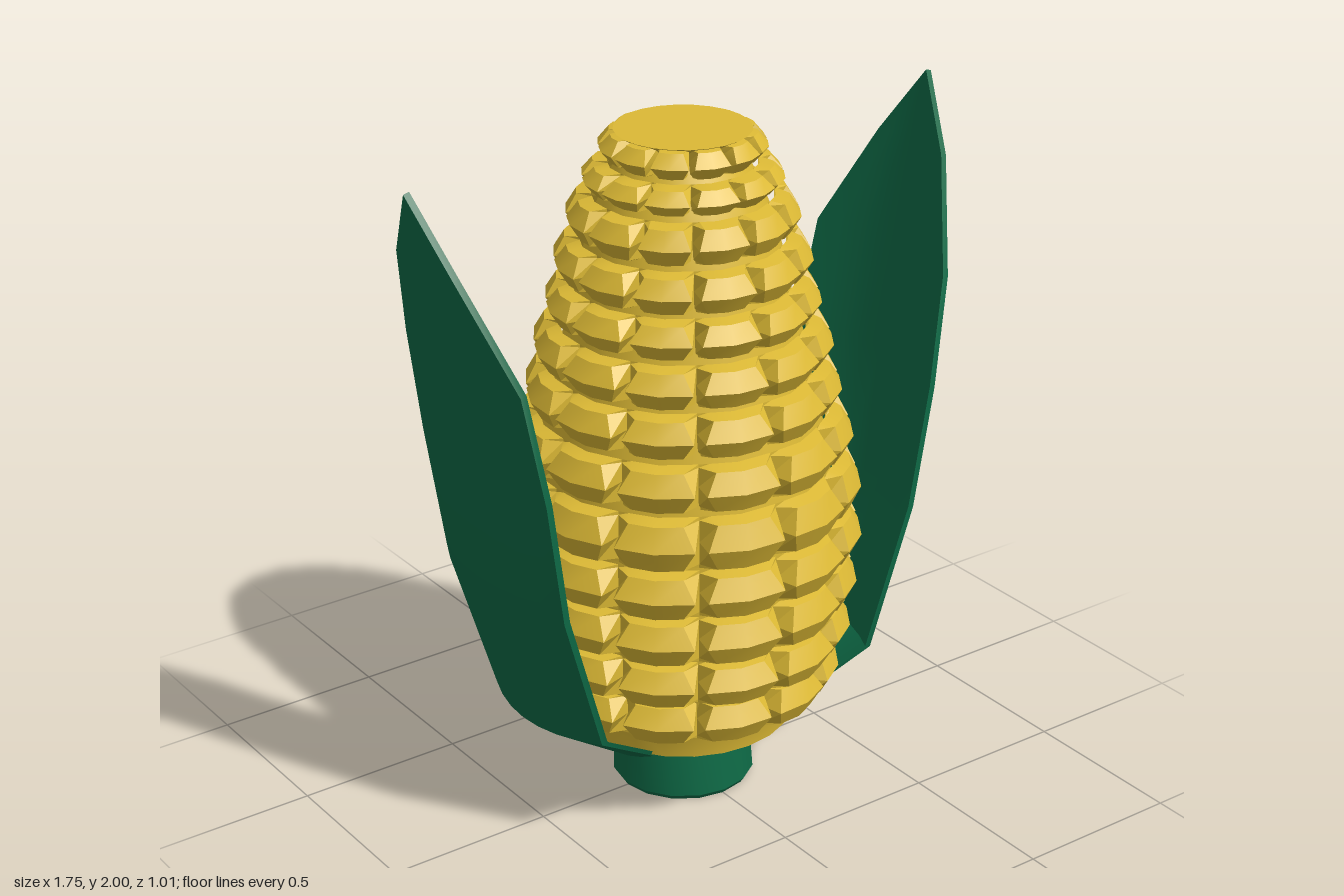
import * as THREE from 'three';
import { toCreasedNormals } from 'three/addons/utils/BufferGeometryUtils.js';

const yellow = new THREE.MeshStandardMaterial({ color: 0xdcb935 });
yellow.name = 'kernelYellow';
const green = new THREE.MeshStandardMaterial({ color: 0x0e6a46 });
green.name = 'huskGreen';

const COLUMNS = 12;
const STEP = (Math.PI * 2) / COLUMNS;

// Skin a list of cross-sections, each with the same number of points
function loft(sections, crease) {
  const n = sections[0].length;
  const index = [];
  for (let i = 0; i < sections.length - 1; i++) {
    for (let j = 0; j < n - 1; j++) {
      const a = i * n + j, b = a + 1, c = b + n, d = a + n;
      index.push(a, b, c, a, c, d);
    }
  }
  const geo = new THREE.BufferGeometry().setFromPoints(sections.flat());
  geo.setIndex(index);
  return toCreasedNormals(geo, crease);
}

function mesh(name, geo, material) {
  const m = new THREE.Mesh(geo, material);
  m.name = name;
  return m;
}

// Rows of kernels from bottom to top: y start, y end, outer radius
const rows = [
  [0.315, 0.445, 0.45], [0.45, 0.58, 0.48], [0.59, 0.73, 0.495],
  [0.74, 0.88, 0.505], [0.885, 1.04, 0.5], [1.05, 1.185, 0.475],
  [1.195, 1.32, 0.44], [1.33, 1.45, 0.415], [1.46, 1.57, 0.38],
  [1.58, 1.695, 0.355], [1.705, 1.82, 0.32], [1.83, 1.91, 0.275],
  [1.915, 2.0, 0.23],
];

// One kernel: six-sided face with bevels falling into the grooves
function kernelGeometry([y0, y1, R]) {
  const core = R - 0.07;
  // height fraction, radius, half angle of the raised face
  const levels = [
    [0, core, 0.36], [0.07, R - 0.03, 0.31], [0.5, R, 0.43],
    [0.93, R - 0.03, 0.31], [1, core, 0.36],
  ];
  const sections = levels.map(([t, r, half]) => {
    const y = y0 + (y1 - y0) * t;
    const at = (f, rad) => new THREE.Vector3(Math.sin(f * STEP) * rad, y, Math.cos(f * STEP) * rad);
    return [at(-0.5, core), at(-half, r), at(0, r * 1.02), at(half, r), at(0.5, core)];
  });
  return loft(sections, 0.4);
}

// Husk leaf stations: spine x, spine y, edge x, edge y, half width
const stations = [
  [0.10, 0.17, 0.10, 0.19, 0.10], [0.27, 0.155, 0.24, 0.205, 0.19],
  [0.56, 0.355, 0.48, 0.37, 0.28], [0.69, 0.79, 0.61, 0.80, 0.30],
  [0.74, 1.17, 0.665, 1.17, 0.31], [0.79, 1.49, 0.72, 1.49, 0.285],
  [0.838, 1.79, 0.822, 1.79, 0.14], [0.875, 1.995, 0.875, 1.995, 0],
];

function leafGeometry() {
  const sections = stations.map(([sx, sy, ex, ey, hw]) => {
    const outer = [], inner = [];
    for (let k = 0; k <= 8; k++) {
      const t = k / 4 - 1;
      const x = sx + (ex - sx) * t * t;
      const y = sy + (ey - sy) * t * t;
      outer.push(new THREE.Vector3(x, y, -t * hw));
      inner.unshift(new THREE.Vector3(x - 0.018, y + 0.005, -t * hw));
    }
    return [...outer, ...inner, outer[0].clone()];
  });
  return loft(sections, 0.6);
}

export function createModel() {
  const model = new THREE.Group();
  model.name = 'cornCob';

  // Core under the kernels, with the bare collar and flat top
  const profile = [[0, 0.22], [0.325, 0.22], [0.34, 0.32]];
  for (const [y0, y1, R] of rows) profile.push([R - 0.075, (y0 + y1) / 2]);
  profile.push([0.162, 1.999], [0, 1.999]);
  const core = new THREE.LatheGeometry(profile.map(([x, y]) => new THREE.Vector2(x, y)), 24);
  model.add(mesh('cobCore', toCreasedNormals(core, 0.6), yellow));

  // Kernels, row by row
  const kernels = new THREE.Group();
  kernels.name = 'kernels';
  for (const row of rows) {
    const geo = kernelGeometry(row);
    for (let c = 0; c < COLUMNS; c++) {
      const kernel = mesh('kernel', geo, yellow);
      kernel.rotation.y = (c + 0.5) * STEP;
      kernels.add(kernel);
    }
  }
  model.add(kernels);

  // Flat crown closing the top row
  const crown = mesh('crown', new THREE.CylinderGeometry(0.19, 0.16, 0.02, 24), yellow);
  crown.position.y = 1.99;
  model.add(crown);

  // Stem with a small bevel at the foot
  const stem = [[0, 0], [0.2, 0], [0.21, 0.015], [0.195, 0.205], [0, 0.205]];
  const stemGeo = new THREE.LatheGeometry(stem.map(([x, y]) => new THREE.Vector2(x, y)), 16);
  model.add(mesh('stem', toCreasedNormals(stemGeo, 0.6), green));

  // Two husk leaves
  const leaf = leafGeometry();
  for (const [name, turn] of [['leftLeaf', 0], ['rightLeaf', Math.PI]]) {
    const husk = mesh(name, leaf, green);
    husk.rotation.y = turn;
    model.add(husk);
  }
  return model;
}
